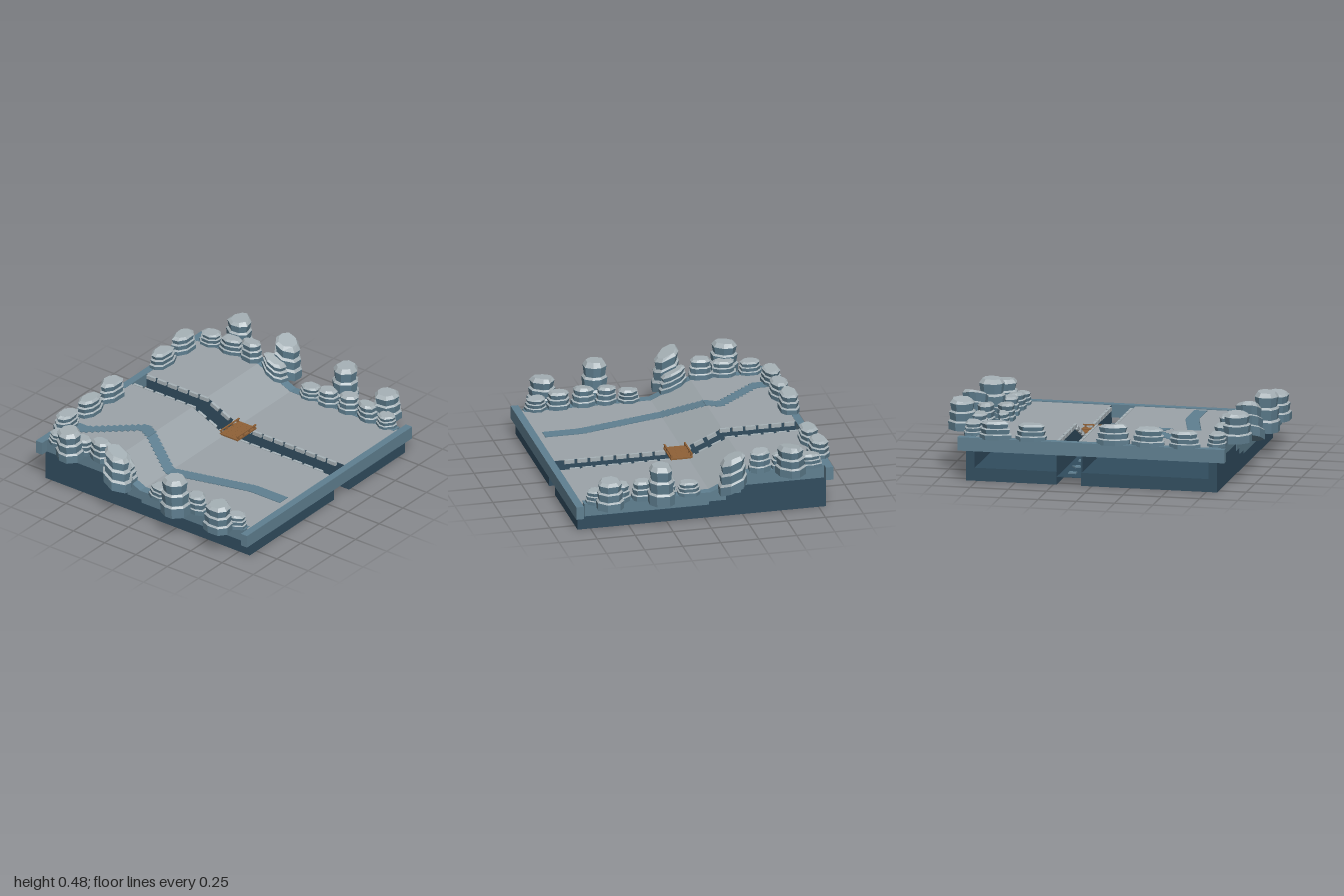
import * as THREE from 'three';

const mat = (name, color) => {
  const m = new THREE.MeshStandardMaterial({ color });
  m.name = name;
  return m;
};

// Ground height: low front terrace, ramp, high back terrace
const RAMP = [-0.04, -0.3], LOW = 0.17, HIGH = 0.285;
const ground = z => LOW + (HIGH - LOW) * THREE.MathUtils.clamp((RAMP[0] - z) / (RAMP[0] - RAMP[1]), 0, 1);
const SLOPE = Math.atan2(HIGH - LOW, RAMP[0] - RAMP[1]);
const tilt = z => (z < RAMP[0] && z > RAMP[1] ? SLOPE : 0);

export function createModel() {
  const model = new THREE.Group();
  const dark = mat('deepBlueStone', 0x304c5e);
  const blue = mat('blueStone', 0x5f7f90);
  const grey = mat('greyGround', 0x9ba3a8);
  const pale = mat('paleCap', 0xa6b1b6);
  const wood = mat('wood', 0x8f6137);

  let seed = 7;
  const rand = () => (seed = (seed * 16807) % 2147483647) / 2147483647;

  const add = (name, geo, material, parent = model) => {
    const mesh = new THREE.Mesh(geo, material);
    mesh.name = name;
    parent.add(mesh);
    return mesh;
  };
  const group = name => {
    const g = new THREE.Group();
    g.name = name;
    model.add(g);
    return g;
  };
  // Box given by its limits
  const box = (name, x0, x1, y0, y1, z0, z1, material, parent) => {
    const m = add(name, new THREE.BoxGeometry(x1 - x0, y1 - y0, z1 - z0), material, parent);
    m.position.set((x0 + x1) / 2, (y0 + y1) / 2, (z0 + z1) / 2);
    return m;
  };
  // Side profile of [z, y] points, extruded from x0 to x1
  const profile = (name, pts, x0, x1, material) => {
    const shape = new THREE.Shape(pts.map(([z, y]) => new THREE.Vector2(-z, y)));
    const geo = new THREE.ExtrudeGeometry(shape, { depth: x1 - x0, bevelEnabled: false });
    geo.rotateY(Math.PI / 2).translate(x0, 0, 0);
    return add(name, geo, material);
  };
  const topLine = (front, back, dy = 0) => [
    [front, LOW + dy], [RAMP[0], LOW + dy], [RAMP[1], HIGH + dy], [back, HIGH + dy]];

  // Foundation, ground and channel walls on both sides of the channel
  const C0 = 0.07, C1 = 0.23;
  for (const [x0, x1] of [[-0.82, C0], [C1, 0.82]]) {
    box('foundation', x0, x1, 0, 0.085, -0.8, 0.835, dark);
    const inset = x0 < 0 ? [x0 + 0.03, x1] : [x0, x1 - 0.03];
    profile('ground', [...topLine(0.81, -0.8), ...topLine(0.81, -0.8, -0.012).reverse()], ...inset, grey);
  }
  for (const x of [C0 - 0.006, C1 - 0.002]) {
    profile('channelWall', [...topLine(0.805, -0.785, -0.002), [-0.785, 0.05], [0.805, 0.05]], x, x + 0.008, dark);
  }
  box('channelBed', C0, C1, 0.048, 0.052, -0.79, 0.81, dark);

  // Stepped side walls
  const steps = [[-0.8, 0.2], [-0.24, 0.2], [-0.24, 0.15], [-0.14, 0.15], [-0.14, 0.11], [-0.03, 0.11], [-0.03, 0.088]];
  for (const x of [-0.822, 0.762]) {
    profile('sideWall', [...topLine(0.79, -0.8, 0.002), ...steps, [0.79, 0.088]], x, x + 0.06, blue);
    profile('sideFooting', [...steps, [-0.03, 0.08], [-0.8, 0.08]], x + 0.002, x + 0.058, dark);
  }

  // End rims
  box('frontRim', -0.875, 0.87, 0.09, 0.175, 0.805, 0.855, blue);
  box('backRim', -0.875, 0.87, 0.2, 0.287, -0.835, -0.785, blue);

  // Curbstones along the channel
  const curbs = group('channelCurbs');
  for (let z = -0.74; z < 0.79; z += 0.085) {
    for (const x of [C0 + 0.01, C1 - 0.01]) {
      const m = add('curbstone', new THREE.BoxGeometry(0.018, 0.025, 0.066), pale, curbs);
      m.position.set(x, ground(z) - 0.01, z);
      m.rotation.x = tilt(z);
    }
  }

  // Floating slabs in the channel
  const slabs = group('floatingSlabs');
  [[0.15, -0.68, 0], [0.16, -0.5, 0.7], [0.165, -0.32, 0.15], [0.15, -0.14, 0.5],
    [0.135, 0.22, -0.3], [0.145, 0.4, 0.6], [0.157, 0.58, 0.1]].forEach(([x, z, turn]) => {
    const m = add('slab', new THREE.BoxGeometry(0.05, 0.009, 0.045), blue, slabs);
    m.position.set(x, 0.056, z);
    m.rotation.y = turn;
  });

  // Winding path of short paving strips
  const path = group('path');
  const route = [[-0.365, 0.76], [-0.365, 0.52], [-0.51, -0.04], [-0.32, -0.38], [-0.57, -0.67], [-0.57, -0.74]];
  for (let i = 0; i + 1 < route.length; i++) {
    const [ax, az] = route[i], [bx, bz] = route[i + 1];
    const n = Math.ceil((az - bz) / 0.03);
    for (let k = 0; k < n; k++) {
      const t = (k + 0.5) / n, z = az + (bz - az) * t;
      const m = add('pavingStrip', new THREE.BoxGeometry(0.085, 0.006, 0.036), blue, path);
      m.position.set(ax + (bx - ax) * t, ground(z) + 0.001, z);
      m.rotation.x = tilt(z);
    }
  }

  // Wooden footbridge
  const bridge = group('footbridge');
  for (let i = 0; i < 8; i++) {
    const x = 0.05 + i * 0.025;
    box('plank', x, x + 0.0245, 0.174, 0.184, -0.065, 0.08, wood, bridge);
  }
  for (const z of [-0.06, 0.073]) {
    box('rail', 0.05, 0.25, 0.199, 0.206, z - 0.005, z + 0.005, wood, bridge);
    for (const x of [0.065, 0.12, 0.18, 0.235]) {
      box('railPost', x - 0.005, x + 0.005, 0.18, 0.204, z - 0.005, z + 0.005, wood, bridge);
    }
  }

  // Layered rock: squarish faceted tiers that follow the ground slope
  const SIDES = 8;
  function rock(name, x, z, w, d, h) {
    const g = group(name);
    const turn = (rand() - 0.5) * 0.25;
    const outline = Array.from({ length: SIDES }, (_, i) => {
      const a = (i + 0.5) / SIDES * Math.PI * 2 + (rand() - 0.5) * 0.3;
      const r = (0.9 + rand() * 0.14) / Math.pow(Math.max(Math.abs(Math.cos(a)), Math.abs(Math.sin(a))), 0.85);
      return [Math.cos(a + turn) * r * w / 2, Math.sin(a + turn) * r * d / 2];
    });
    const lean = [(rand() - 0.5) * 0.1 * w, (rand() - 0.5) * 0.1 * d];
    const slant = (rand() - 0.5) * 0.5;
    const tier = (label, y0, y1, s0, s1, material, slope = 0) => {
      const geo = new THREE.CylinderGeometry(1, 1, 1, SIDES, 1).toNonIndexed();
      const p = geo.attributes.position;
      for (let i = 0; i < p.count; i++) {
        const up = p.getY(i) > 0, s = up ? s1 : s0, y = up ? y1 : y0;
        let px = 0, pz = 0;
        if (Math.hypot(p.getX(i), p.getZ(i)) > 0.5) {
          const k = Math.round(Math.atan2(p.getX(i), p.getZ(i)) / (Math.PI * 2) * SIDES + SIDES) % SIDES;
          // Reversed index keeps the faces pointing outward
          [px, pz] = outline[(SIDES - k) % SIDES];
        }
        const wx = x + px * s + lean[0] * y, wz = z + pz * s + lean[1] * y;
        const extra = up ? slope * (px / w + pz / d) * h * 0.3 : 0;
        p.setXYZ(i, wx, ground(wz) - 0.004 + y * h + extra, wz);
      }
      geo.computeVertexNormals();
      add(label, geo, material, g);
    };
    tier('lowerTier', 0, 0.26, 1, 1.02, blue);
    tier('lowerLedge', 0.26, 0.31, 1.02, 0.9, pale);
    tier('middleTier', 0.29, 0.56, 0.86, 0.94, blue);
    tier('middleLedge', 0.56, 0.61, 0.94, 0.8, pale);
    tier('upperTier', 0.59, 0.85, 0.76, 0.86, blue);
    tier('cap', 0.85, 0.96, 0.88, 0.66, pale, slant);
  }

  // Rock walls on both sides: [z, depth, height]
  const small = [[-0.7, 0.15, 0.09], [-0.53, 0.16, 0.11], [-0.37, 0.15, 0.14], [-0.19, 0.17, 0.12],
    [0.1, 0.15, 0.09], [0.25, 0.14, 0.12], [0.4, 0.15, 0.13], [0.56, 0.15, 0.12], [0.71, 0.14, 0.09]];
  const tall = [[-0.55, 0.18, 0.2], [-0.17, 0.18, 0.23], [0.3, 0.17, 0.27], [0.64, 0.18, 0.19]];
  for (const side of [-1, 1]) {
    small.forEach(([z, d, h]) => rock('sideRock', side * 0.795, z, 0.12, d, h));
    tall.forEach(([z, d, h]) => rock('tallRock', side * 0.895, z, 0.18, d, h));
  }

  // Rocks along the back edge: [x, height]
  [[-0.61, 0.11], [-0.37, 0.12], [-0.14, 0.135], [0.4, 0.11], [0.63, 0.12]]
    .forEach(([x, h]) => rock('backRock', x, -0.79, 0.21, 0.125, h));

  return model;
}
